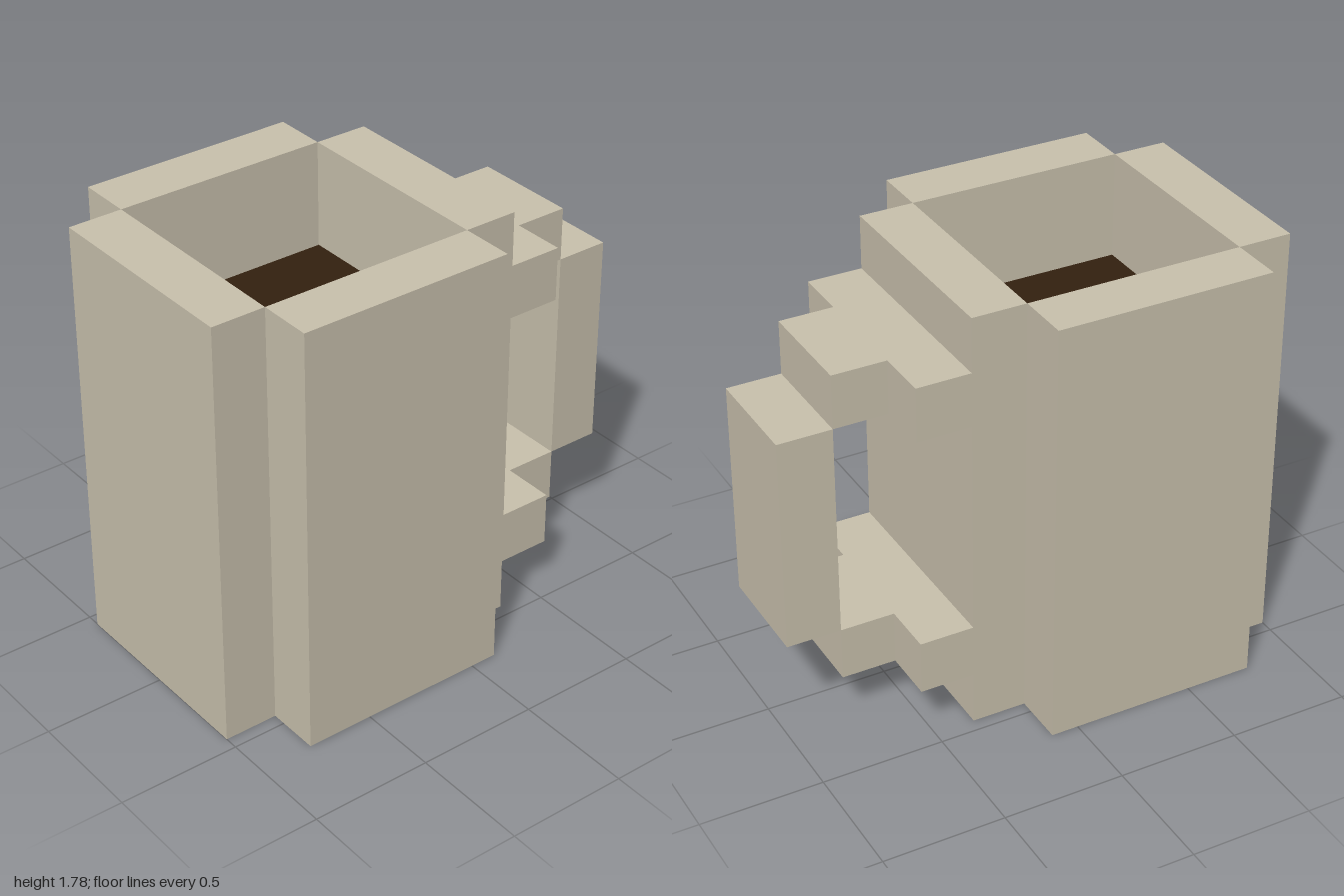
import * as THREE from 'three';

const U = 2 / 9; // one block of the grid

export function createModel() {
  const mug = new THREE.Group();
  mug.name = 'mug';
  const clay = new THREE.MeshStandardMaterial({ color: 0xc9c1ad });
  clay.name = 'clay';
  const coffee = new THREE.MeshStandardMaterial({ color: 0x33200f });
  coffee.name = 'coffee';

  // Box between two corners, given in blocks
  function block(name, material, [x0, y0, z0], [x1, y1, z1]) {
    const geometry = new THREE.BoxGeometry((x1 - x0) * U, (y1 - y0) * U, (z1 - z0) * U);
    const mesh = new THREE.Mesh(geometry, material);
    mesh.position.set((x0 + x1) / 2, (y0 + y1) / 2, (z0 + z1) / 2).multiplyScalar(U);
    mesh.name = name;
    mug.add(mesh);
  }

  // Cup: four walls with open corners around a floor
  block('frontWall', clay, [-3.5, 0, 2], [0.5, 8, 3]);
  block('backWall', clay, [-3.5, 0, -3], [0.5, 8, -2]);
  block('rightWall', clay, [-4.5, 0, -2], [-3.5, 8, 2]);
  block('leftWall', clay, [0.5, 0, -2], [1.5, 8, 2]);
  block('floor', clay, [-3.5, 0, -2], [0.5, 1, 2]);

  // Drink filling the cup
  block('drink', coffee, [-3.5, 1, -2], [0.5, 6, 2]);

  // Handle: a stepped arm above and below, and the upright grip
  for (const [side, y] of [['lower', 1], ['upper', 6]]) {
    block(side + 'HandleBase', clay, [1.5, y, -2], [2.5, y + 1, 2]);
    block(side + 'HandleArm', clay, [2.5, y, -1], [3.5, y + 1, 1]);
  }
  block('handleGrip', clay, [3.5, 2, -1], [4.5, 6, 1]);

  return mug;
}
